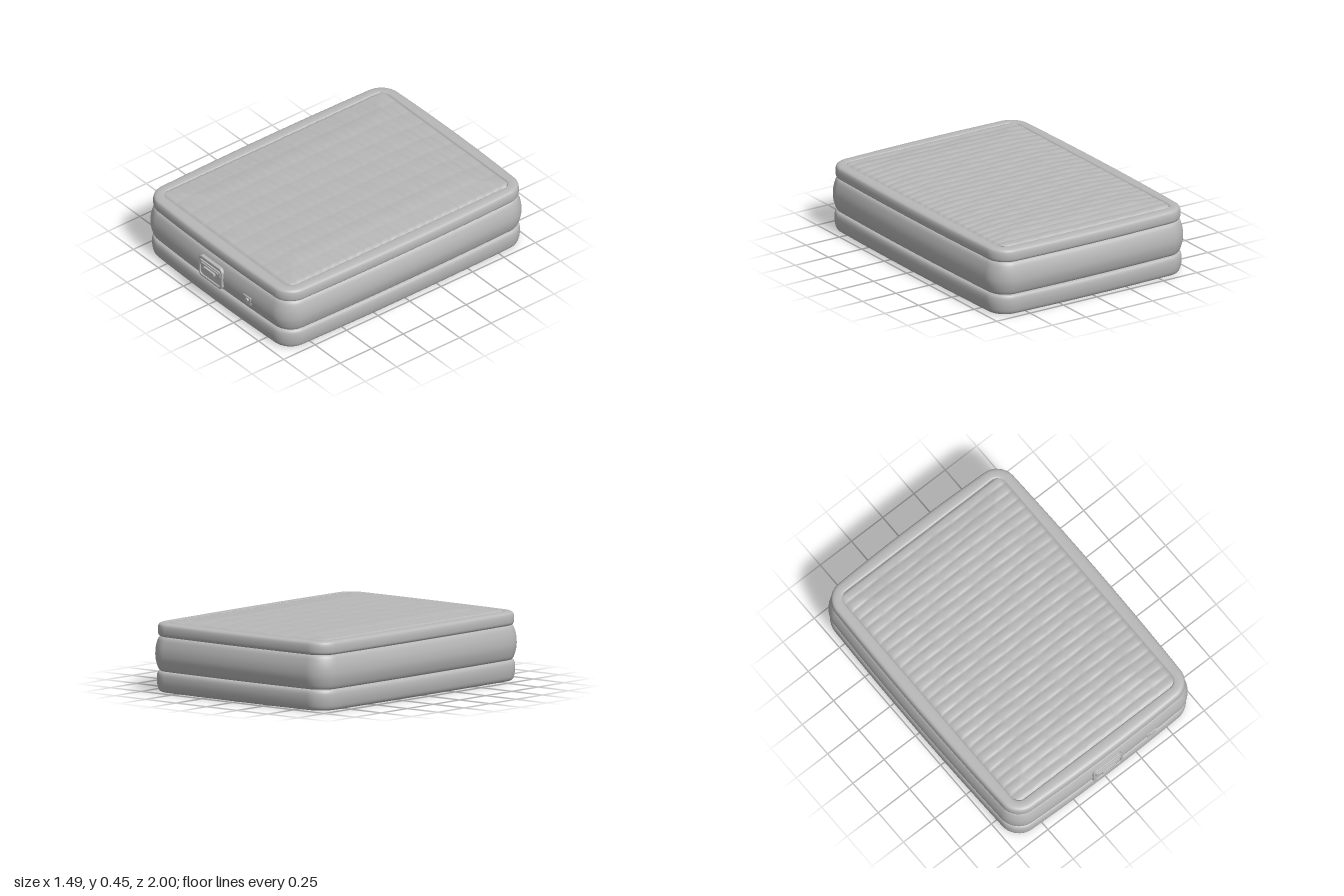
import * as THREE from 'three';

const HX = 0.745, HZ = 0.9875, CZ = -0.0125, R = 0.14;
const INNER = 0.105; // inset of the quilted panel from the widest outline

// Rounded rectangle outline with gently bowed sides, inset by d
function outline(d) {
  const hx = HX - d, hz = HZ - d, r = R - d * 0.75;
  const bow = 0.022 * Math.max(0, 1 - d / INNER);
  const pts = [];
  const corners = [[1, 1], [-1, 1], [-1, -1], [1, -1]];
  corners.forEach(([sx, sz], k) => {
    for (let i = 0; i <= 10; i++) {
      const a = (k + i / 10) * Math.PI / 2;
      pts.push([sx * (hx - r) + r * Math.cos(a), sz * (hz - r) + r * Math.sin(a)]);
    }
    // straight run to the next corner
    const [nx, nz] = corners[(k + 1) % 4];
    const a = (k + 1) * Math.PI / 2;
    const p = pts[pts.length - 1];
    const q = [nx * (hx - r) + r * Math.cos(a), nz * (hz - r) + r * Math.sin(a)];
    for (let i = 1; i < 14; i++) pts.push([p[0] + (q[0] - p[0]) * i / 14, p[1] + (q[1] - p[1]) * i / 14]);
  });
  return pts.map(([x, z]) => [
    x * (1 - bow / hx * (z / hz) ** 2),
    z * (1 - bow / hz * (x / hx) ** 2) + CZ,
  ]);
}

// Skin a list of [inset, height] sections, from bottom to top
function loft(profile, capBottom) {
  const pos = [], idx = [];
  let n = 0;
  for (const [d, y] of profile) {
    const ring = outline(d);
    n = ring.length;
    for (const [x, z] of ring) pos.push(x, y, z);
  }
  for (let j = 0; j < profile.length - 1; j++) {
    for (let i = 0; i < n; i++) {
      const a = j * n + i, b = j * n + (i + 1) % n;
      idx.push(a, a + n, b, b, a + n, b + n);
    }
  }
  if (capBottom) {
    const c = pos.length / 3;
    pos.push(0, profile[0][1], CZ);
    for (let i = 0; i < n; i++) idx.push(c, i, (i + 1) % n);
  }
  const g = new THREE.BufferGeometry();
  g.setAttribute('position', new THREE.Float32BufferAttribute(pos, 3));
  g.setIndex(idx);
  g.computeVertexNormals();
  return g;
}

// Smooth a coarse profile into more sections
function smooth(points, count) {
  const curve = new THREE.CatmullRomCurve3(points.map(([d, y]) => new THREE.Vector3(d, y, 0)));
  return curve.getPoints(count).map(p => [p.x, p.y]);
}

// Domed top sheet with rows and columns of soft pillows
function quilt() {
  const w = HX - INNER, h = HZ - INNER, r = 0.06, cols = 9, rows = 26;
  const g = new THREE.PlaneGeometry(2 * w, 2 * h, cols * 10, rows * 8);
  g.rotateX(-Math.PI / 2);
  const p = g.attributes.position;
  for (let i = 0; i < p.count; i++) {
    let x = p.getX(i), z = p.getZ(i);
    const u = (x / w + 1) / 2 * cols, v = (z / h + 1) / 2 * rows;
    // pull the corners in to a rounded outline
    const ex = Math.abs(x) - (w - r), ez = Math.abs(z) - (h - r);
    const len = Math.hypot(ex, ez);
    if (ex > 0 && ez > 0 && len > r) {
      x = Math.sign(x) * (w - r + ex * r / len);
      z = Math.sign(z) * (h - r + ez * r / len);
    }
    const edge = Math.max(0, Math.min(w - Math.abs(x), h - Math.abs(z)));
    const dome = 0.014 * THREE.MathUtils.smoothstep(edge, 0, 0.24);
    const pillow = 0.006 * Math.abs(Math.sin(Math.PI * v)) ** 0.6 * (0.45 + 0.55 * Math.abs(Math.sin(Math.PI * u)) ** 0.5);
    const wave = 0.001 * Math.sin(u * 2.3 + Math.floor(v) * 1.9);
    const lip = 0.008 * (1 - Math.min(1, edge / 0.012));
    p.setXYZ(i, x, 0.432 + dome + pillow + wave - lip, z + CZ);
  }
  g.computeVertexNormals();
  return g;
}

// Rounded rectangle path
function roundedRect(target, w, h, r) {
  const x = w / 2, y = h / 2;
  target.moveTo(x, -y + r);
  target.absarc(x - r, y - r, r, 0, Math.PI / 2);
  target.absarc(-x + r, y - r, r, Math.PI / 2, Math.PI);
  target.absarc(-x + r, -y + r, r, Math.PI, Math.PI * 1.5);
  target.absarc(x - r, -y + r, r, Math.PI * 1.5, Math.PI * 2);
  return target;
}

function extrude(shape, depth, bevel) {
  return new THREE.ExtrudeGeometry(shape, {
    depth, curveSegments: 8, bevelEnabled: bevel > 0,
    bevelSize: bevel, bevelThickness: bevel, bevelOffset: -bevel, bevelSegments: 3,
  });
}

export function createModel() {
  const model = new THREE.Group();
  const grey = new THREE.MeshStandardMaterial({ color: 0xb8b8b8 });
  grey.name = 'grey vinyl';
  const add = (name, geometry, x = 0, y = 0, z = 0, parent = model) => {
    const m = new THREE.Mesh(geometry, grey);
    m.name = name;
    m.position.set(x, y, z);
    parent.add(m);
    return m;
  };

  // Inflated tiers
  const base = smooth([[0.045, 0], [0.033, 0.005], [0.022, 0.02], [0.014, 0.05], [0.011, 0.08],
    [0.014, 0.11], [0.022, 0.125], [0.036, 0.132], [0.055, 0.132]], 28);
  add('bottomTier', loft([[0.075, 0], [0.055, 0], ...base], true));
  add('middleTier', loft(smooth([[0.055, 0.131], [0.036, 0.133], [0.024, 0.145], [0.011, 0.175],
    [0.002, 0.21], [0, 0.24], [0.003, 0.275], [0.012, 0.31], [0.023, 0.335], [0.036, 0.347], [0.055, 0.349]], 32)));
  add('topTier', loft(smooth([[0.055, 0.349], [0.034, 0.35], [0.023, 0.36], [0.019, 0.38], [0.02, 0.405],
    [0.026, 0.422], [0.038, 0.43], [0.06, 0.434], [0.085, 0.434], [0.1, 0.431], [0.107, 0.422]], 36)));
  add('quiltedTop', quilt());

  // Pump panel on the front
  const pump = new THREE.Group();
  pump.name = 'pumpPanel';
  pump.position.set(-0.003, 0.237, 0);
  model.add(pump);
  const rim = roundedRect(new THREE.Shape(), 0.235, 0.154, 0.032);
  rim.holes.push(roundedRect(new THREE.Path(), 0.203, 0.122, 0.02));
  add('pumpFrame', extrude(rim, 0.026, 0.004), 0, 0, 0.955, pump);
  add('pumpPlate', extrude(roundedRect(new THREE.Shape(), 0.21, 0.13, 0.022), 0.024, 0), 0, 0, 0.953, pump);
  const flap = new THREE.Shape();
  flap.moveTo(-0.098, 0.048);
  flap.lineTo(-0.098, 0.012);
  flap.quadraticCurveTo(-0.07, -0.014, -0.045, -0.014);
  flap.lineTo(0.045, -0.014);
  flap.quadraticCurveTo(0.07, -0.014, 0.098, 0.012);
  flap.lineTo(0.098, 0.048);
  add('pumpFlap', extrude(flap, 0.014, 0.003), 0, 0, 0.97, pump);
  add('flapRidge', extrude(roundedRect(new THREE.Shape(), 0.17, 0.01, 0.004), 0.012, 0.002), 0, 0.034, 0.98, pump);
  add('flapGrip', extrude(roundedRect(new THREE.Shape(), 0.11, 0.026, 0.008), 0.014, 0.003), 0, 0.008, 0.983, pump);

  // Small air valve
  const valve = new THREE.Group();
  valve.name = 'airValve';
  valve.position.set(0.352, 0.213, 0);
  model.add(valve);
  add('valveTab', extrude(roundedRect(new THREE.Shape(), 0.076, 0.01, 0.004), 0.014, 0.002), 0, 0.03, 0.961, valve);
  add('valveBase', extrude(roundedRect(new THREE.Shape(), 0.066, 0.046, 0.008), 0.012, 0.002), 0, -0.004, 0.957, valve);
  const plug = new THREE.CylinderGeometry(0.011, 0.015, 0.014, 20);
  plug.rotateX(Math.PI / 2);
  add('valvePlug', plug, 0, 0.01, 0.974, valve);

  return model;
}
